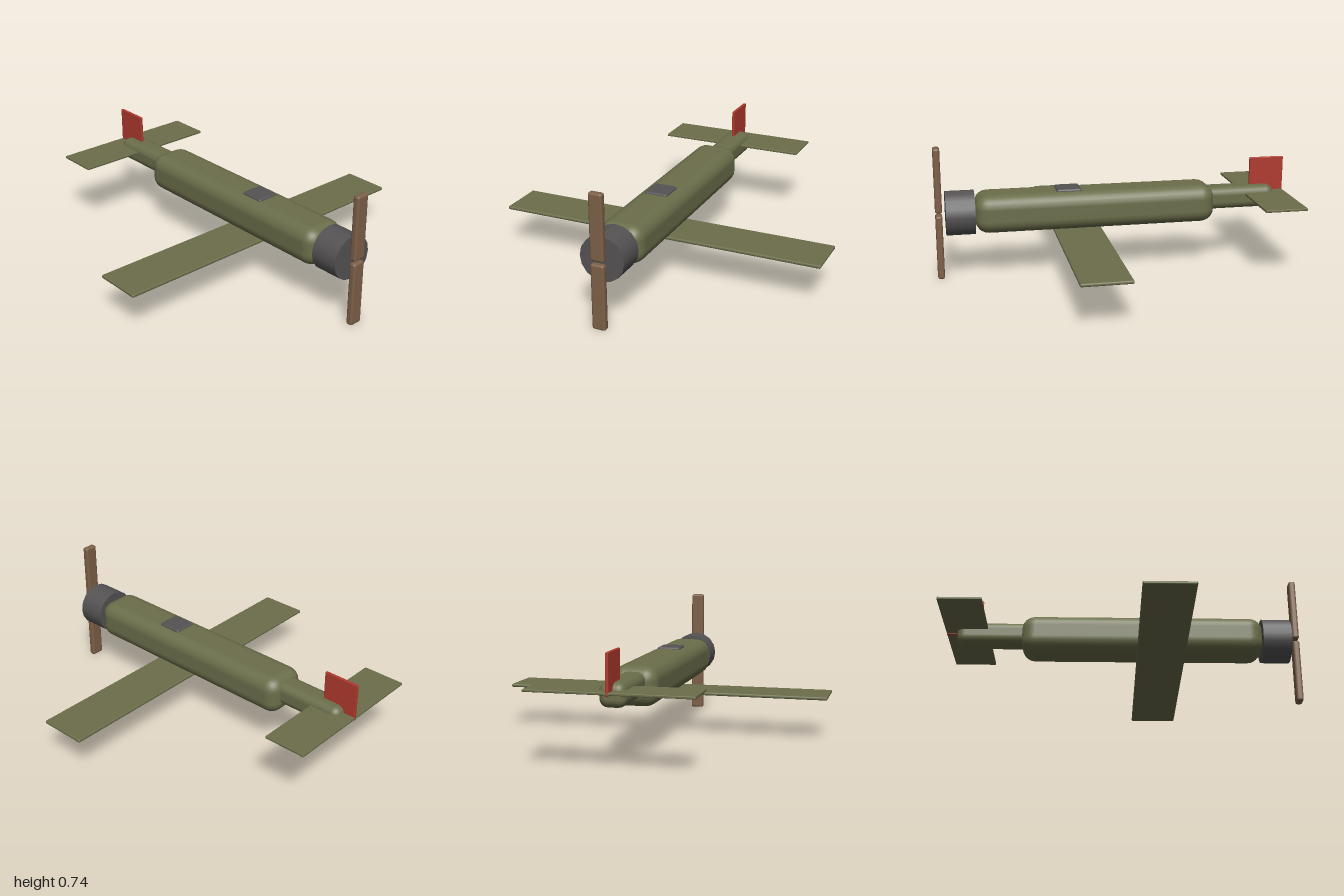
import * as THREE from 'three';
import { RoundedBoxGeometry } from 'three/addons/geometries/RoundedBoxGeometry.js';

const paint = (name, color) => {
  const m = new THREE.MeshStandardMaterial({ color });
  m.name = name;
  return m;
};

export function createModel() {
  const group = new THREE.Group();
  group.name = 'propellerPlane';
  const olive = paint('olive', 0x6b6e4a);
  const grey = paint('darkGrey', 0x555353);
  const brown = paint('woodBrown', 0x7d6048);
  const red = paint('red', 0xb03a2e);

  // rounded block given by its extents [min, max] along x and y, and its half width in z
  const block = (name, material, [x0, x1], [y0, y1], halfZ, radius, segments = 2) => {
    const geometry = new RoundedBoxGeometry(x1 - x0, y1 - y0, halfZ * 2, segments, radius);
    const mesh = new THREE.Mesh(geometry, material);
    mesh.name = name;
    mesh.position.set((x0 + x1) / 2, (y0 + y1) / 2, 0);
    group.add(mesh);
    return mesh;
  };

  // body and tail boom
  block('fuselage', olive, [-0.57, 0.785], [0.265, 0.48], 0.128, 0.075, 3);
  block('tailBoom', olive, [-0.935, -0.5], [0.325, 0.453], 0.07, 0.045, 3);

  // flying surfaces
  block('wing', olive, [0.075, 0.345], [0.235, 0.254], 0.94, 0.008);
  block('tailplane', olive, [-1, -0.76], [0.402, 0.416], 0.435, 0.004);
  block('tailFin', red, [-1, -0.8], [0.396, 0.61], 0.008, 0.004);

  // cockpit cover
  block('cockpit', grey, [0.19, 0.33], [0.465, 0.491], 0.065, 0.011);

  // engine cowling
  const cowling = new THREE.Mesh(new THREE.CylinderGeometry(0.124, 0.124, 0.16, 16), grey);
  cowling.name = 'engineCowling';
  cowling.rotation.z = -Math.PI / 2;
  cowling.position.set(0.864, 0.372, 0);
  group.add(cowling);

  // propeller blades
  block('upperBlade', brown, [0.962, 1], [0.38, 0.744], 0.038, 0.012);
  block('lowerBlade', brown, [0.962, 1], [0, 0.364], 0.038, 0.012);

  return group;
}
